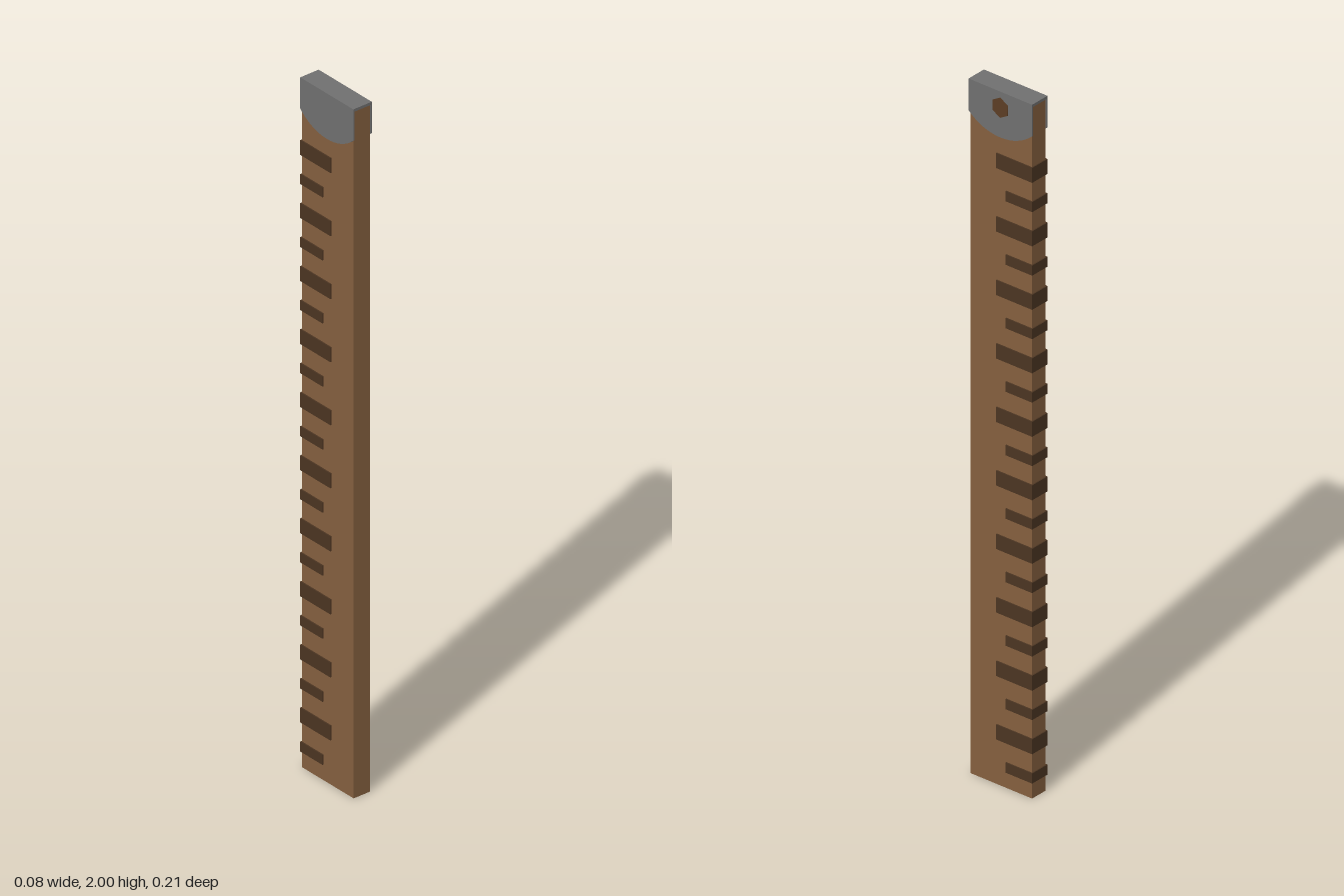
import * as THREE from 'three';

export function createModel() {
  const wood = new THREE.MeshStandardMaterial({ name: 'wood', color: 0x85603f });
  const darkWood = new THREE.MeshStandardMaterial({ name: 'dark notch', color: 0x4c3522 });
  const metal = new THREE.MeshStandardMaterial({ name: 'grey metal', color: 0x707070 });
  const holeBrown = new THREE.MeshStandardMaterial({ name: 'hole brown', color: 0x5c3e25 });

  const model = new THREE.Group();
  model.name = 'measuringStick';
  const add = (name, geometry, material, x, y, z) => {
    const mesh = new THREE.Mesh(geometry, material);
    mesh.name = name;
    mesh.position.set(x, y, z);
    model.add(mesh);
    return mesh;
  };

  // Wooden body
  add('body', new THREE.BoxGeometry(0.053, 1.993, 0.202), wood, 0, 0.9965, 0);

  // Alternating short and long marks wrapped round the back edge
  for (let i = 0; i < 20; i++) {
    const long = i % 2 === 1;
    const front = long ? 0.014 : -0.017;
    const back = -0.104;
    add(long ? 'longMark' : 'shortMark',
      new THREE.BoxGeometry(0.06, long ? 0.043 : 0.029, front - back),
      darkWood, 0, 0.06 + i * 0.0914, (front + back) / 2);
  }

  // Metal cap: top plate and two side plates with a rounded lower edge
  add('capTop', new THREE.BoxGeometry(0.06, 0.008, 0.208), metal, 0, 1.996, 0);
  const half = 0.104, radius = 0.152, centre = 2.02;
  const a = Math.acos(half / radius);
  const shape = new THREE.Shape();
  shape.moveTo(half, 2);
  shape.lineTo(-half, 2);
  shape.absarc(0, centre, radius, Math.PI + a, 2 * Math.PI - a, false);
  shape.closePath();
  const plate = new THREE.ExtrudeGeometry(shape, { depth: 0.004, bevelEnabled: false, curveSegments: 8 });
  plate.rotateY(Math.PI / 2);
  add('capLeftPlate', plate, metal, 0.026, 0, 0);
  add('capRightPlate', plate, metal, -0.03, 0, 0);

  // Six-sided hanging hole on one side of the cap
  const hole = new THREE.CylinderGeometry(0.029, 0.029, 0.004, 6);
  hole.rotateY(Math.PI / 2).rotateZ(Math.PI / 2);
  // Turn the hexagon so a corner points up
  hole.computeBoundingBox();
  const size = hole.boundingBox.getSize(new THREE.Vector3());
  if (size.y < size.z) hole.rotateX(Math.PI / 2);
  add('hangingHole', hole, holeBrown, 0.029, 1.954, 0);

  // The stick stands slightly turned
  model.rotation.y = 0.09;
  return model;
}
